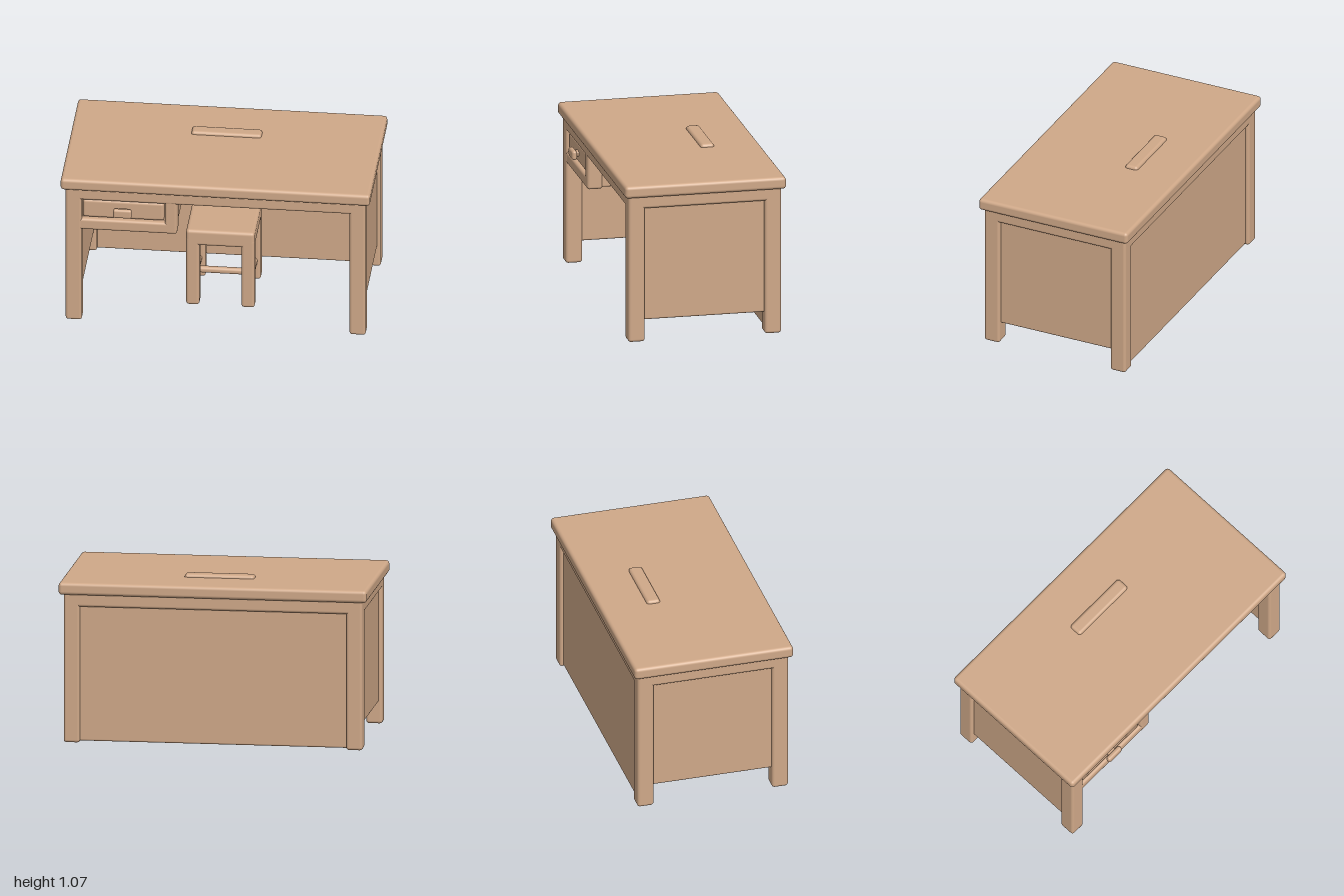
import * as THREE from 'three';
import { RoundedBoxGeometry } from 'three/addons/geometries/RoundedBoxGeometry.js';

const wood = new THREE.MeshStandardMaterial({ color: 0xcfa888 });
wood.name = 'wood';

// Soft-edged block given by its limits on each axis
function block(parent, name, [x0, x1], [y0, y1], [z0, z1], radius = 0.018) {
  const w = x1 - x0, h = y1 - y0, d = z1 - z0;
  const r = Math.min(radius, w * 0.45, h * 0.45, d * 0.45);
  const mesh = new THREE.Mesh(new RoundedBoxGeometry(w, h, d, 3, r), wood);
  mesh.position.set((x0 + x1) / 2, (y0 + y1) / 2, (z0 + z1) / 2);
  mesh.name = name;
  parent.add(mesh);
  return mesh;
}

// Limits of a span mirrored to the given side
const side = (s, a, b) => (s > 0 ? [a, b] : [-b, -a]);

function createDesk() {
  const desk = new THREE.Group();
  desk.name = 'desk';
  block(desk, 'tableTop', [-1, 1], [0.97, 1.05], [-0.53, 0.53], 0.022);

  for (const s of [1, -1]) {
    const end = s > 0 ? 'left' : 'right';
    const x = side(s, 0.865, 0.97);
    block(desk, end + 'FrontLeg', x, [0, 0.98], [0.395, 0.503]);
    block(desk, end + 'BackLeg', x, [0, 0.98], [-0.503, -0.395]);
    block(desk, end + 'Apron', x, [0.89, 0.985], [-0.503, 0.503]);
    block(desk, end + 'Panel', side(s, 0.885, 0.945), [0.14, 0.91], [-0.42, 0.42], 0.012);
  }
  block(desk, 'frontApron', [-0.97, 0.97], [0.89, 0.985], [0.395, 0.503]);
  block(desk, 'backApron', [-0.97, 0.97], [0.89, 0.985], [-0.503, -0.395]);
  block(desk, 'backPanel', [-0.89, 0.89], [0.01, 0.91], [-0.48, -0.42], 0.012);
  return desk;
}

function createDrawer() {
  const drawer = new THREE.Group();
  drawer.name = 'drawer';
  // Housing under the top and the frame around the opening
  block(drawer, 'drawerHousing', [-0.9, -0.26], [0.68, 0.975], [-0.43, 0.46], 0.012);
  block(drawer, 'drawerBottomRail', [-0.9, -0.25], [0.67, 0.75], [0.4, 0.5]);
  block(drawer, 'drawerSideRail', [-0.33, -0.25], [0.67, 0.93], [0.4, 0.5]);
  // Front with a raised field and a pull
  block(drawer, 'drawerFront', [-0.862, -0.335], [0.755, 0.886], [0.42, 0.485], 0.02);
  block(drawer, 'handleStem', [-0.63, -0.57], [0.80, 0.835], [0.47, 0.525], 0.012);
  block(drawer, 'handle', [-0.66, -0.54], [0.785, 0.847], [0.502, 0.535], 0.015);
  return drawer;
}

function createChair() {
  const chair = new THREE.Group();
  chair.name = 'chair';
  block(chair, 'seat', [-0.222, 0.222], [0.44, 0.552], [-0.23, 0.23], 0.022);

  for (const s of [1, -1]) {
    const end = s > 0 ? 'left' : 'right';
    const x = side(s, 0.135, 0.222);
    block(chair, end + 'FrontLeg', x, [0, 0.5], [0.14, 0.23], 0.02);
    block(chair, end + 'BackLeg', x, [0, 0.5], [-0.23, -0.14], 0.02);
    block(chair, end + 'Stretcher', side(s, 0.158, 0.2), [0.117, 0.162], [-0.18, 0.18]);
    block(chair, end + 'BackPost', x, [0.5, 1.06], [-0.225, -0.14]);
  }
  block(chair, 'crossStretcher', [-0.18, 0.18], [0.119, 0.161], [-0.021, 0.021]);
  block(chair, 'backSlat', [-0.17, 0.17], [0.675, 0.768], [-0.21, -0.155]);
  block(chair, 'topRail', [-0.228, 0.225], [0.97, 1.07], [-0.23, -0.14], 0.02);
  return chair;
}

export function createModel() {
  const model = new THREE.Group();
  model.name = 'deskWithChair';
  model.add(createDesk(), createDrawer(), createChair());
  return model;
}
